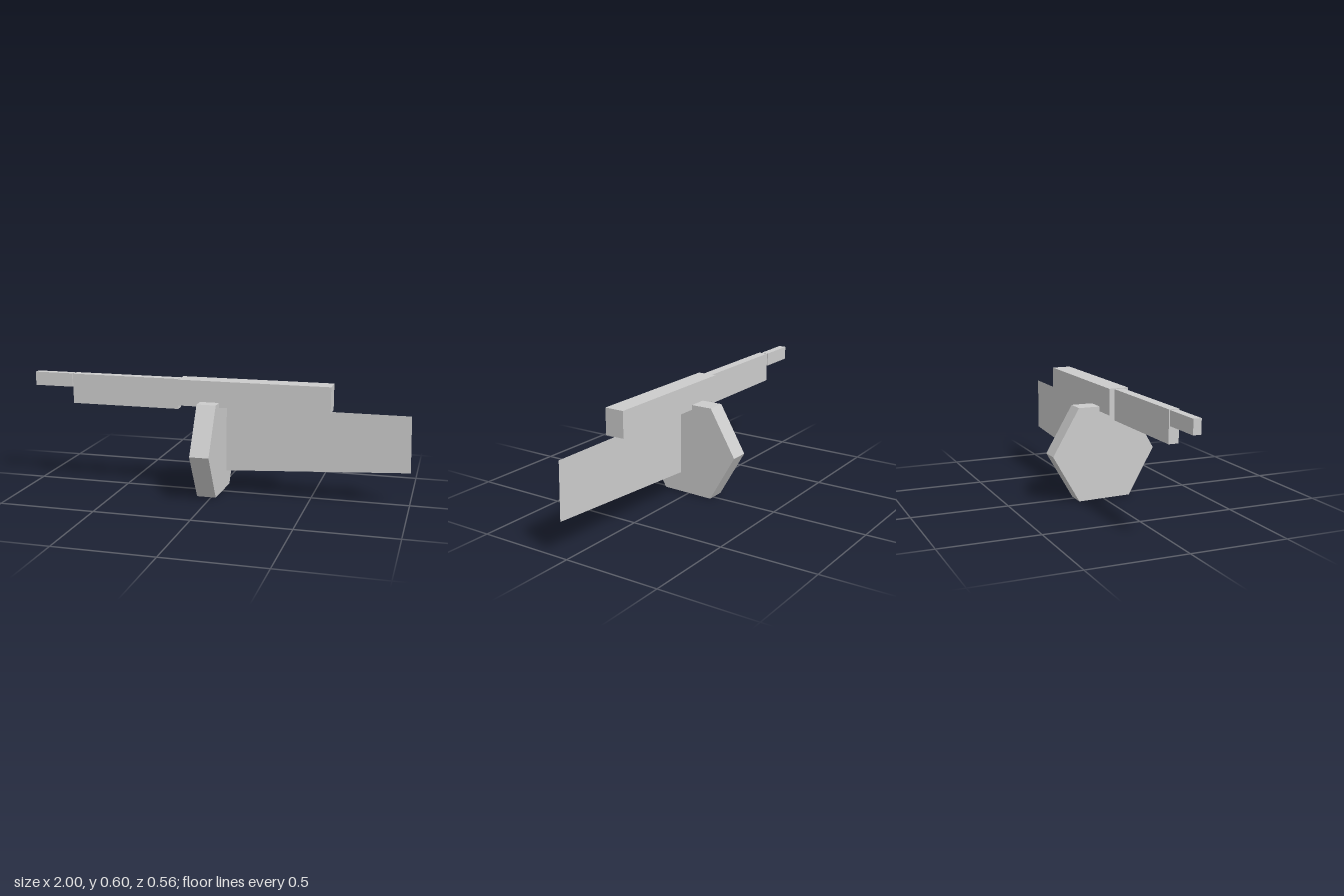
import * as THREE from 'three';

export function createModel() {
  const model = new THREE.Group();
  const grey = new THREE.MeshStandardMaterial({ color: 0xcccccc });
  grey.name = 'plain grey';
  grey.side = THREE.DoubleSide;

  const add = (name, geometry) => {
    const mesh = new THREE.Mesh(geometry, grey);
    mesh.name = name;
    model.add(mesh);
  };

  // Box given by its lower and upper corners
  const block = (name, [x0, y0, z0], [x1, y1, z1]) => {
    const geometry = new THREE.BoxGeometry(x1 - x0, y1 - y0, z1 - z0);
    geometry.translate((x0 + x1) / 2, (y0 + y1) / 2, (z0 + z1) / 2);
    add(name, geometry);
  };

  const outline = (points) => new THREE.Shape(points.map(([a, b]) => new THREE.Vector2(a, b)));

  // Body, barrel and muzzle in one line
  block('receiver', [-0.19, 0.465, -0.024], [0.6, 0.6, 0.079]);
  block('barrel', [-0.78, 0.44, 0], [-0.197, 0.598, 0.051]);
  block('muzzle', [-1, 0.525, 0], [-0.79, 0.597, 0.04]);

  // Six-sided drum under the receiver: outline in z and y, thickness along x
  const drum = new THREE.ExtrudeGeometry(
    outline([[-0.28, 0.248], [-0.138, 0], [0.144, 0.006], [0.281, 0.25], [0.144, 0.49], [-0.138, 0.49]]),
    { depth: 0.1, bevelEnabled: false }
  );
  drum.rotateY(-Math.PI / 2);
  drum.translate(0.03, 0, 0);
  add('drum', drum);

  // Flat sheet stock
  const stock = new THREE.ShapeGeometry(outline([[0.057, 0.122], [1, 0.177], [0.992, 0.465], [0.057, 0.465]]));
  stock.translate(0, 0, 0.027);
  add('stock', stock);

  return model;
}
